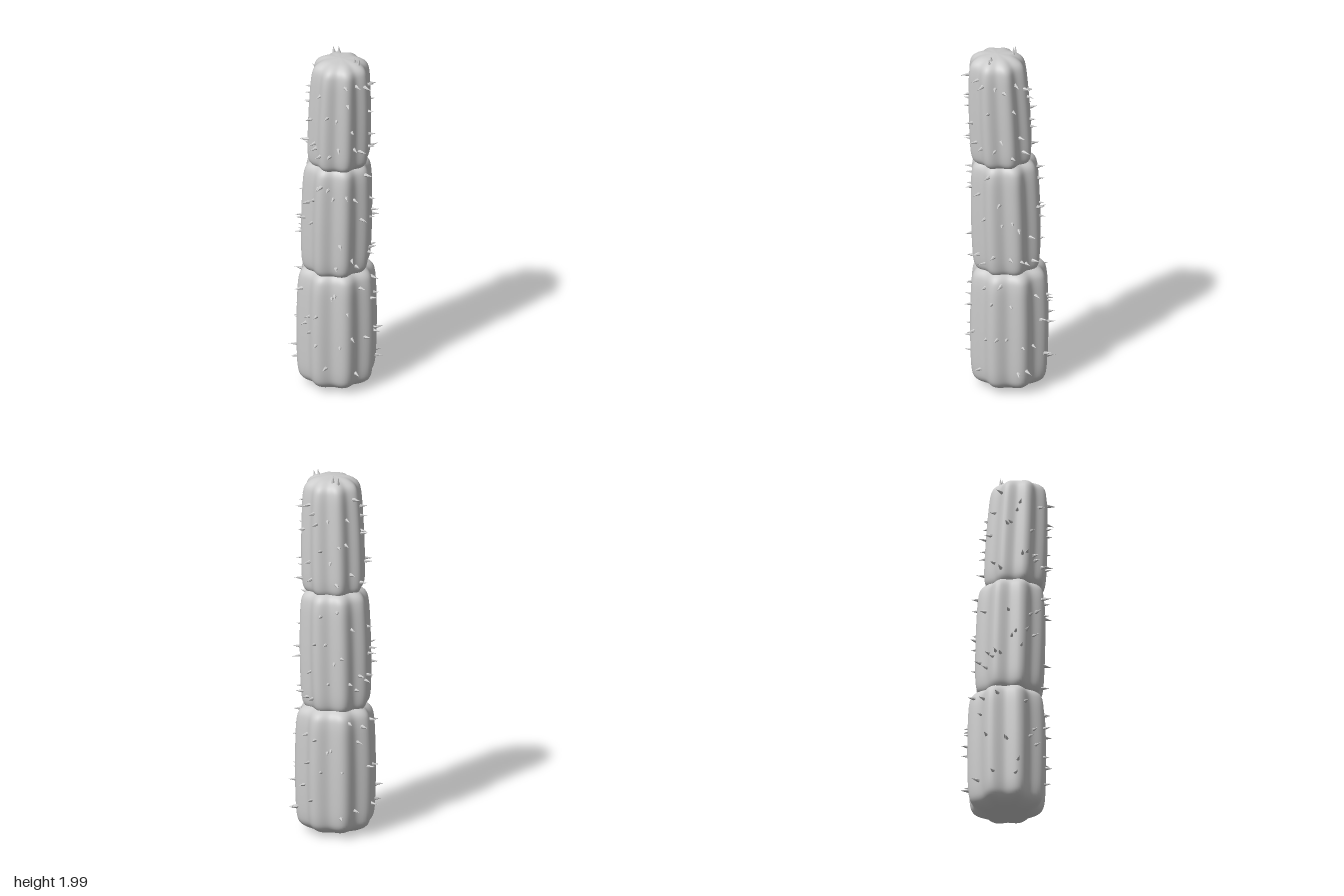
import * as THREE from 'three';
import { mergeGeometries, mergeVertices } from 'three/addons/utils/BufferGeometryUtils.js';

const RIBS = 8;

// Stacked stem segments: y range, ridge radius, taper and axis centre at both ends (x, z)
const SEGMENTS = [
  { name: 'lowerSegment', y0: 0.005, y1: 0.735, radius: 0.222, taper: 0.01, from: [-0.003, 0], to: [0, 0] },
  { name: 'middleSegment', y0: 0.665, y1: 1.375, radius: 0.196, taper: 0.02, from: [0, 0.012], to: [0.018, 0.022] },
  { name: 'upperSegment', y0: 1.31, y1: 1.975, radius: 0.173, taper: 0.1, from: [0.028, 0.03], to: [0.053, 0.05] },
];

// Rounded barrel outline: x is the relative radius, y the relative height
const half = [[0, 0], [0.3, 0.005], [0.55, 0.014], [0.75, 0.037], [0.89, 0.072], [0.955, 0.13], [0.985, 0.25]];
const outline = new THREE.SplineCurve([
  ...half, [1, 0.5], ...half.map(([r, t]) => [r, 1 - t]).reverse(),
].map(([r, t]) => new THREE.Vector2(r, t)));

const rib = (angle) => 0.94 + 0.06 * Math.cos(RIBS * angle);

// Point on a segment for an angle, relative radius and relative height
function surfacePoint(s, angle, r, t) {
  const radius = s.radius * r * rib(angle) * (1 + s.taper * (0.5 - t));
  return new THREE.Vector3(
    THREE.MathUtils.lerp(s.from[0], s.to[0], t) + Math.sin(angle) * radius,
    THREE.MathUtils.lerp(s.y0, s.y1, t),
    THREE.MathUtils.lerp(s.from[1], s.to[1], t) + Math.cos(angle) * radius,
  );
}

function segmentGeometry(s) {
  const points = outline.getPoints(56).map((p) => new THREE.Vector2(Math.max(0, p.x), p.y));
  points[0].x = points[points.length - 1].x = 0;
  let geometry = new THREE.LatheGeometry(points, 96);
  const pos = geometry.attributes.position;
  for (let i = 0; i < pos.count; i++) {
    const x = pos.getX(i), z = pos.getZ(i);
    const p = surfacePoint(s, Math.atan2(x, z), Math.hypot(x, z), pos.getY(i));
    pos.setXYZ(i, p.x, p.y, p.z);
  }
  geometry.deleteAttribute('uv');
  geometry.deleteAttribute('normal');
  geometry = mergeVertices(geometry, 1e-5);
  geometry.computeVertexNormals();
  return geometry;
}

// Small faceted cone with its base sunk slightly into the skin
function spine(base, direction, length) {
  const geometry = new THREE.ConeGeometry(0.011, length, 6);
  geometry.translate(0, length / 2 - 0.006, 0);
  const turn = new THREE.Quaternion().setFromUnitVectors(new THREE.Vector3(0, 1, 0), direction.normalize());
  return geometry.applyQuaternion(turn).translate(base.x, base.y, base.z);
}

function seeded(seed) {
  return () => {
    seed = (seed * 16807) % 2147483647;
    return seed / 2147483647;
  };
}

export function createModel() {
  const model = new THREE.Group();
  model.name = 'cactus';
  const skin = new THREE.MeshStandardMaterial({ color: 0xcccccc });
  const spineMaterial = new THREE.MeshStandardMaterial({ color: 0xcccccc, flatShading: true });
  const random = seeded(4711);

  SEGMENTS.forEach((s, index) => {
    const group = new THREE.Group();
    group.name = s.name;
    const body = new THREE.Mesh(segmentGeometry(s), skin);
    body.name = 'ribbedBody';
    group.add(body);

    // Spines scattered evenly around the sides
    const cones = [];
    const count = 44;
    for (let i = 0; i < count; i++) {
      const angle = ((i + random()) / count) * Math.PI * 2;
      const t = 0.12 + 0.78 * random();
      const r = 0.985 - 0.5 * Math.max(0, Math.abs(t - 0.5) - 0.33);
      const out = new THREE.Vector3(
        Math.sin(angle) + (random() - 0.5) * 0.4,
        (random() - 0.5) * 0.3,
        Math.cos(angle) + (random() - 0.5) * 0.4,
      );
      cones.push(spine(surfacePoint(s, angle, r, t), out, 0.042 + 0.012 * random()));
    }

    // Spines on the crown
    if (index === SEGMENTS.length - 1) {
      for (const [x, y, z] of [[-0.03, 1.957, -0.022], [0, 1.962, -0.025], [0.132, 1.96, 0.045], [0.157, 1.95, 0.045]]) {
        cones.push(spine(new THREE.Vector3(x, y, z), new THREE.Vector3((x - 0.05) * 2, 1, 0), 0.044));
      }
    }
    const spines = new THREE.Mesh(mergeGeometries(cones), spineMaterial);
    spines.name = 'spines';
    group.add(spines);
    model.add(group);
  });
  return model;
}
